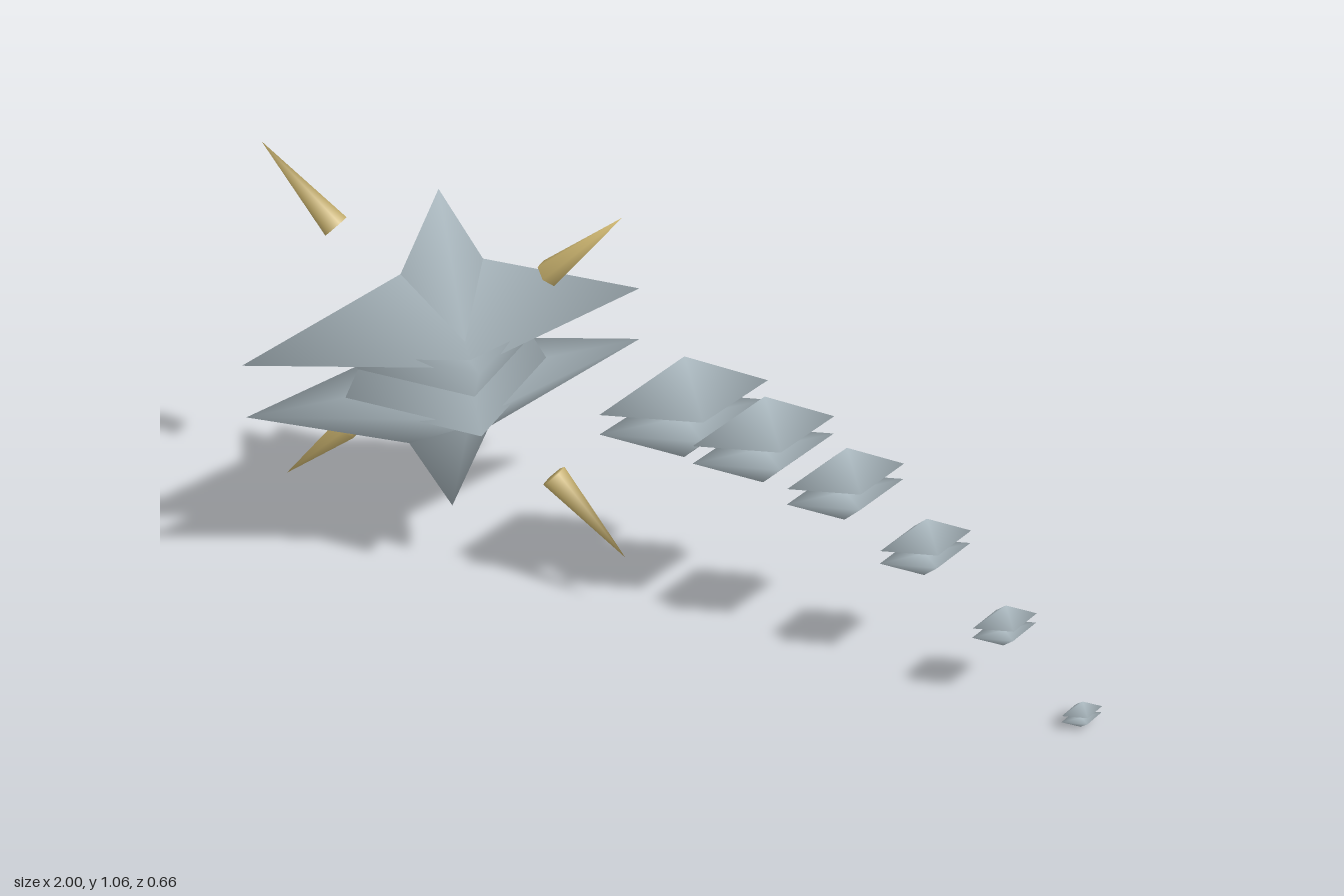
import * as THREE from 'three';
import { mergeVertices } from 'three/addons/utils/BufferGeometryUtils.js';

const steel = new THREE.MeshStandardMaterial({ color: 0xb0bec5 });
steel.name = 'paleSteel';
const gold = new THREE.MeshStandardMaterial({ color: 0xc9b26e });
gold.name = 'dullGold';

// Cone whose corners are shared by sides and base, so it shades softly all round.
function weldedCone(radius, height, sides) {
  const geo = new THREE.ConeGeometry(radius, height, sides);
  geo.deleteAttribute('uv');
  geo.deleteAttribute('normal');
  const welded = mergeVertices(geo);
  welded.computeVertexNormals();
  return welded;
}

// Four-sided pyramid with its base at y = 0; dir = -1 points it downwards.
function pyramid(name, radius, height, dir, narrow = 1) {
  const geo = weldedCone(radius, height, 4);
  geo.translate(0, height / 2, 0);
  if (dir < 0) geo.rotateX(Math.PI);
  geo.scale(1, 1, narrow);
  geo.rotateY(Math.PI / 4);
  geo.computeVertexNormals();
  const mesh = new THREE.Mesh(geo, steel);
  mesh.name = name;
  return mesh;
}

// Upper and lower diamond pyramids separated by a gap.
function addShellPair(group, name, half, height, gap, narrow) {
  for (const dir of [1, -1]) {
    const shell = pyramid(name + (dir > 0 ? 'Upper' : 'Lower'), half * Math.SQRT2, height, dir, narrow);
    shell.position.y = dir * gap;
    group.add(shell);
  }
}

export function createModel() {
  const model = new THREE.Group();
  model.name = 'floatingCreature';

  // Body: two opposed square spikes that cross, with wide diamond shells
  const body = new THREE.Group();
  body.name = 'body';
  body.position.set(-0.56, 0.62, 0);
  for (const dir of [1, -1]) {
    const spike = pyramid(dir > 0 ? 'upperSpike' : 'lowerSpike', 0.173 * Math.SQRT2, 0.495, dir);
    spike.position.y = -dir * 0.08;
    body.add(spike);
  }
  addShellPair(body, 'bodyShell', 0.33, 0.194, 0.067, 0.415);

  // Four gold horns floating on the diagonals
  for (const sx of [1, -1]) {
    for (const sy of [1, -1]) {
      const horn = new THREE.Mesh(weldedCone(0.032, 0.25, 6), gold);
      horn.name = 'horn';
      const dir = new THREE.Vector3(sx, sy, 0).normalize();
      horn.quaternion.setFromUnitVectors(new THREE.Vector3(0, 1, 0), dir);
      horn.position.copy(dir).multiplyScalar(0.4975);
      body.add(horn);
    }
  }
  model.add(body);

  // Tail: shrinking shell pairs, each [x, y, z, half width, gap]
  const tail = [
    [0.025, 0.62, 0, 0.14, 0.025],
    [0.21, 0.577, -0.01, 0.118, 0.0225],
    [0.4, 0.507, -0.018, 0.098, 0.02],
    [0.587, 0.388, -0.025, 0.077, 0.0165],
    [0.774, 0.226, -0.034, 0.055, 0.0125],
    [0.961, 0.0355, -0.041, 0.035, 0.0085],
  ];
  tail.forEach(([x, y, z, half, gap], i) => {
    const segment = new THREE.Group();
    segment.name = 'tailSegment' + (i + 1);
    segment.position.set(x, y, z);
    addShellPair(segment, 'tailShell', half, half * 0.75, gap, 0.56);
    model.add(segment);
  });
  return model;
}
